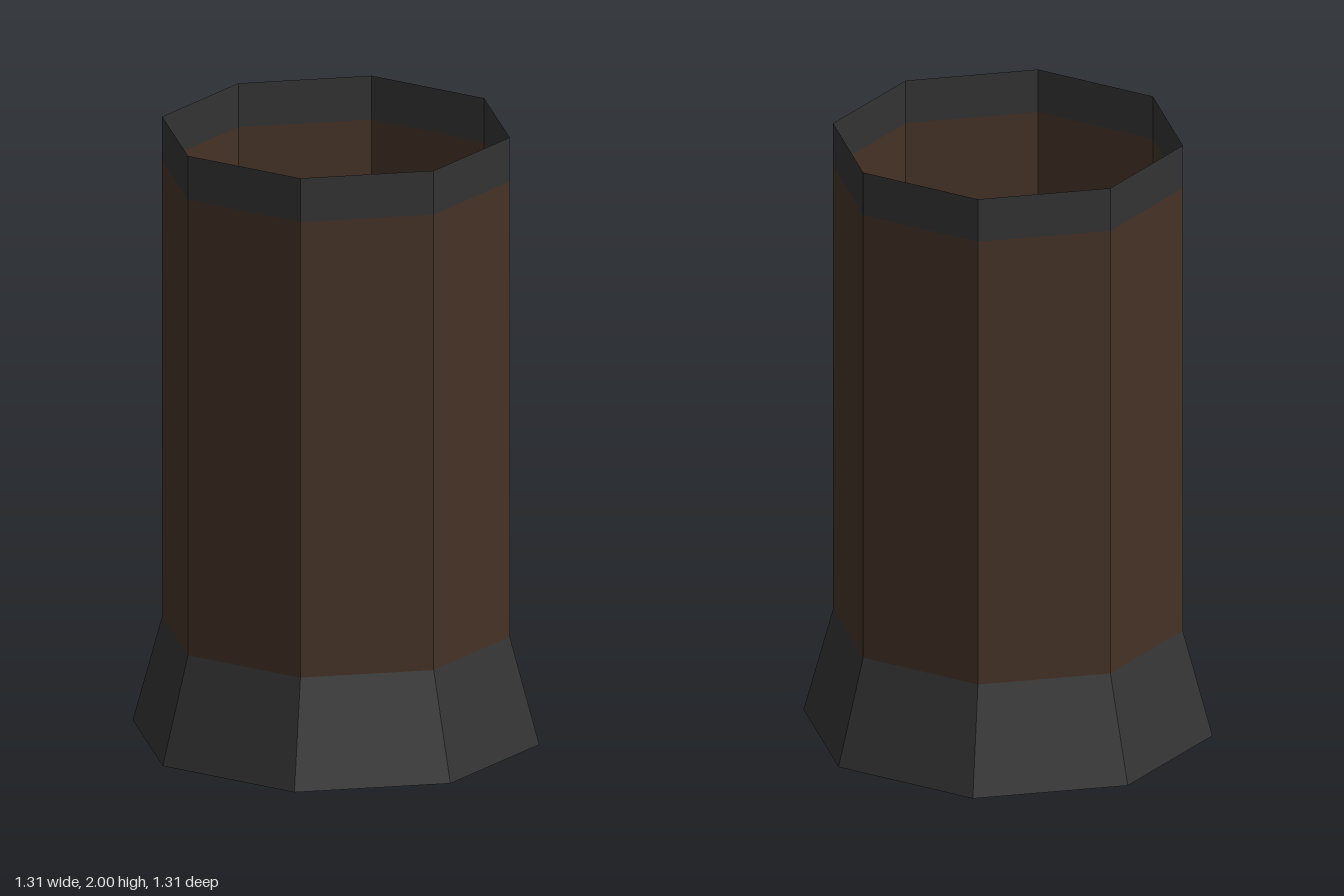
import * as THREE from 'three';

export function createModel() {
  const model = new THREE.Group();
  model.name = 'openBarrel';

  const material = (name, color) => {
    const m = new THREE.MeshStandardMaterial({ color, flatShading: true, side: THREE.DoubleSide });
    m.name = name;
    return m;
  };
  const brown = material('darkBrown', 0x443226);
  const charcoal = material('charcoal', 0x333333);

  // One open eight-sided section of the thin wall, from y0 up to y1
  const addSection = (name, y0, y1, bottomRadius, topRadius, mat) => {
    const geometry = new THREE.CylinderGeometry(topRadius, bottomRadius, y1 - y0, 8, 1, true);
    const mesh = new THREE.Mesh(geometry, mat);
    mesh.name = name;
    mesh.position.y = (y0 + y1) / 2;
    model.add(mesh);
  };

  addSection('flaredBase', 0, 0.35, 0.655, 0.56, charcoal);
  addSection('tubeWall', 0.35, 1.855, 0.56, 0.56, brown);
  addSection('topBand', 1.855, 2, 0.56, 0.56, charcoal);

  return model;
}
